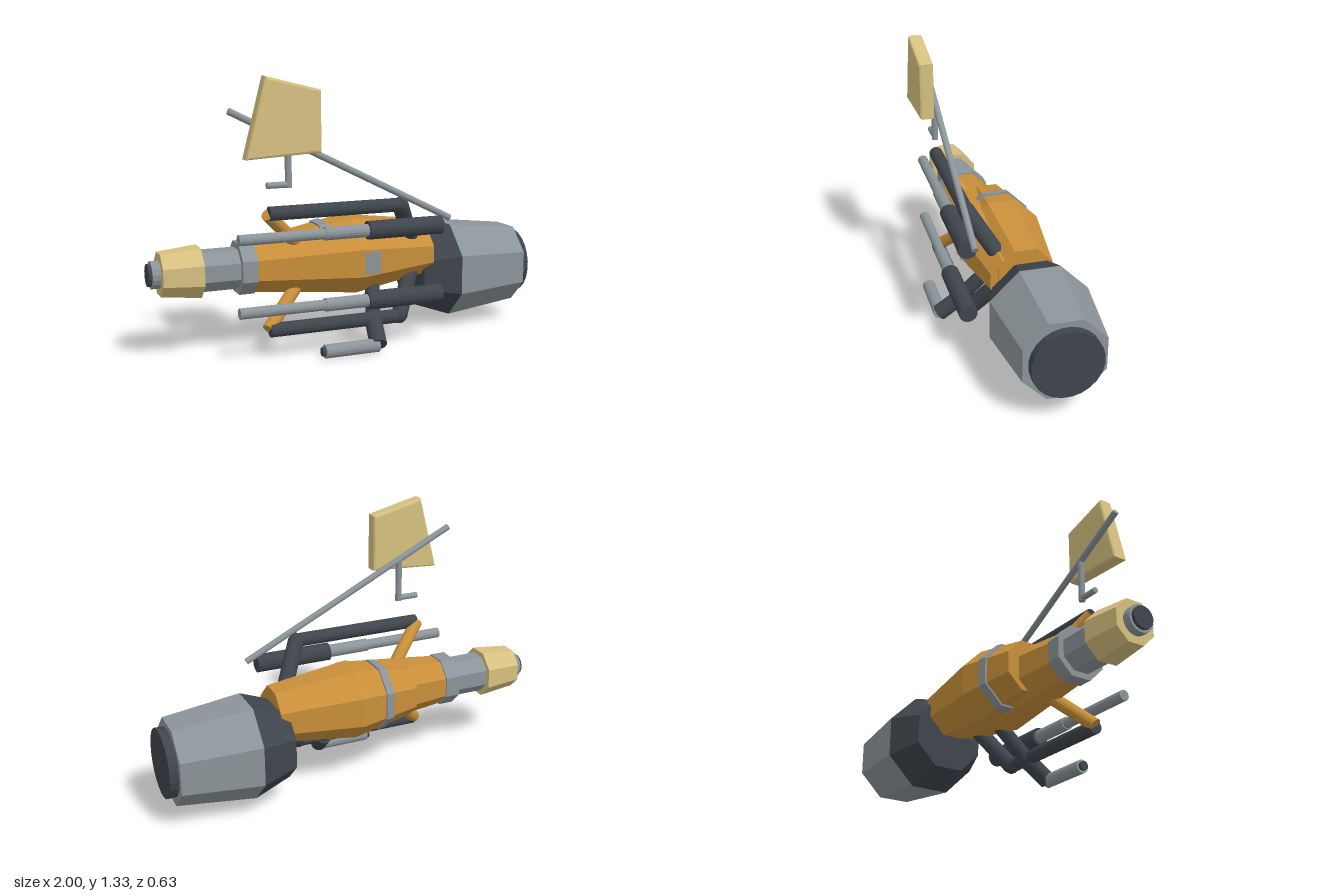
import * as THREE from 'three';

const mat = (name, color, flatShading = false) => {
  const m = new THREE.MeshStandardMaterial({ color, flatShading });
  m.name = name;
  return m;
};

export function createModel() {
  const group = new THREE.Group();
  group.name = 'raceCraft';
  const orange = mat('orange paint', 0xc88f3a, true);
  const cream = mat('cream paint', 0xd6c080, true);
  const steel = mat('steel grey', 0x8b9499, true);
  const dark = mat('dark grey', 0x3f454c, true);

  const add = (name, geometry, material) => {
    const mesh = new THREE.Mesh(geometry, material);
    mesh.name = name;
    group.add(mesh);
    return mesh;
  };

  // Closed faceted hull along x; profile is [x, half width] from nose to tail
  const hull = (name, material, y, z, profile, sides = 8) => {
    const k = 1 / Math.cos(Math.PI / sides);
    const pts = profile.map(([x, r]) => new THREE.Vector2(r * k, x));
    pts.unshift(new THREE.Vector2(0, profile[0][0]));
    pts.push(new THREE.Vector2(0, profile[profile.length - 1][0]));
    const g = new THREE.LatheGeometry(pts, sides, Math.PI / sides);
    g.rotateZ(-Math.PI / 2);
    add(name, g, material).position.set(0, y, z);
  };

  // Round bar between two points
  const bar = (name, material, a, b, r, sides = 16) => {
    const p = new THREE.Vector3(...a), q = new THREE.Vector3(...b);
    const d = q.clone().sub(p);
    const mesh = add(name, new THREE.CylinderGeometry(r, r, d.length(), sides), material);
    mesh.position.copy(p).add(q).multiplyScalar(0.5);
    mesh.quaternion.setFromUnitVectors(new THREE.Vector3(0, 1, 0), d.normalize());
  };
  const joint = (name, material, p, r) =>
    add(name, new THREE.SphereGeometry(r, 16, 10), material).position.set(...p);

  // Nose and forward barrel
  const Y = 0.42, Z = 0.013;
  hull('noseTip', dark, Y, Z, [[-1, 0.052], [-0.98, 0.052]], 16);
  hull('noseCollar', steel, Y, Z, [[-0.985, 0.064], [-0.94, 0.064]], 16);
  hull('noseCone', cream, Y, Z, [[-0.945, 0.1], [-0.755, 0.118]]);
  hull('neck', steel, Y, Z, [[-0.76, 0.094], [-0.57, 0.094]]);
  hull('neckRing', steel, Y, Z, [[-0.575, 0.122], [-0.5, 0.122]]);
  hull('barrel', orange, Y, Z, [[-0.5, 0.115], [0.02, 0.164], [0.43, 0.1]]);

  // Main body behind the barrel, with its band and side latch
  hull('mainBody', orange, 0.437, -0.057, [[-0.29, 0.123], [0.02, 0.178], [0.435, 0.13]]);
  hull('bodyBand', steel, 0.437, -0.057, [[-0.148, 0.157], [-0.105, 0.165]]);
  add('sideLatch', new THREE.BoxGeometry(0.09, 0.11, 0.06), steel).position.set(0.065, 0.42, 0.146);

  // Rear engine
  const EY = 0.307, EZ = -0.082;
  hull('engineIntake', dark, EY, EZ, [[0.388, 0.174], [0.57, 0.236]]);
  hull('engineShell', steel, EY, EZ, [[0.57, 0.236], [0.957, 0.194]]);
  hull('exhaust', dark, EY, EZ, [[0.95, 0.167], [1, 0.167]], 24);

  // Upper and lower side frames
  for (const s of [1, -1]) {
    const at = (x, dy, z) => [x, Y + s * dy, z];
    bar('gunHousing', dark, at(0.02, 0.172, 0.215), at(0.41, 0.172, 0.215), 0.045, 20);
    bar('gunSleeve', steel, at(-0.2, 0.172, 0.215), at(0.03, 0.172, 0.215), 0.032);
    bar('gunBarrel', steel, at(-0.62, 0.172, 0.215), at(-0.19, 0.172, 0.215), 0.026);
    bar('sideRail', dark, at(-0.46, 0.278, 0.175), at(0.21, 0.278, 0.175), 0.034);
    bar('rearStrut', dark, at(0.21, 0.278, 0.175), at(0.34, 0.06, 0.035), 0.04);
    joint('rearElbow', dark, at(0.21, 0.278, 0.175), 0.038);
    bar('frontStrut', orange, at(-0.465, 0.275, 0.17), at(-0.27, 0.09, 0.05), 0.032);
  }

  // Foot peg and its leg
  bar('footPeg', steel, [-0.225, 0.04, 0.278], [0.05, 0.04, 0.278], 0.033);
  bar('footPegEnd', dark, [-0.24, 0.04, 0.278], [-0.22, 0.04, 0.278], 0.022);
  bar('lowerLeg', dark, [0.05, 0.042, 0.282], [0.075, 0.15, 0.15], 0.042);
  bar('upperLeg', dark, [0.065, 0.12, 0.185], [0.13, 0.33, 0.02], 0.036);

  // Boom with hanging handle
  bar('boom', steel, [-0.65, 1.178, 0.195], [0.468, 0.62, 0.195], 0.016);
  bar('handleStem', steel, [-0.37, 0.818, 0.195], [-0.37, 1.035, 0.195], 0.016);
  bar('handleGrip', steel, [-0.475, 0.833, 0.195], [-0.36, 0.833, 0.195], 0.015);

  // Bevelled vane on the boom
  const vane = new THREE.Shape([[-0.6, 0.965], [-0.24, 0.985], [-0.24, 1.27], [-0.505, 1.335]]
    .map(([x, y]) => new THREE.Vector2(x, y)));
  const vaneGeo = new THREE.ExtrudeGeometry(vane, {
    depth: 0.049, bevelThickness: 0.012, bevelSize: 0.012, bevelOffset: -0.012, bevelSegments: 2,
  });
  add('vane', vaneGeo, cream).position.z = 0.232;

  return group;
}
